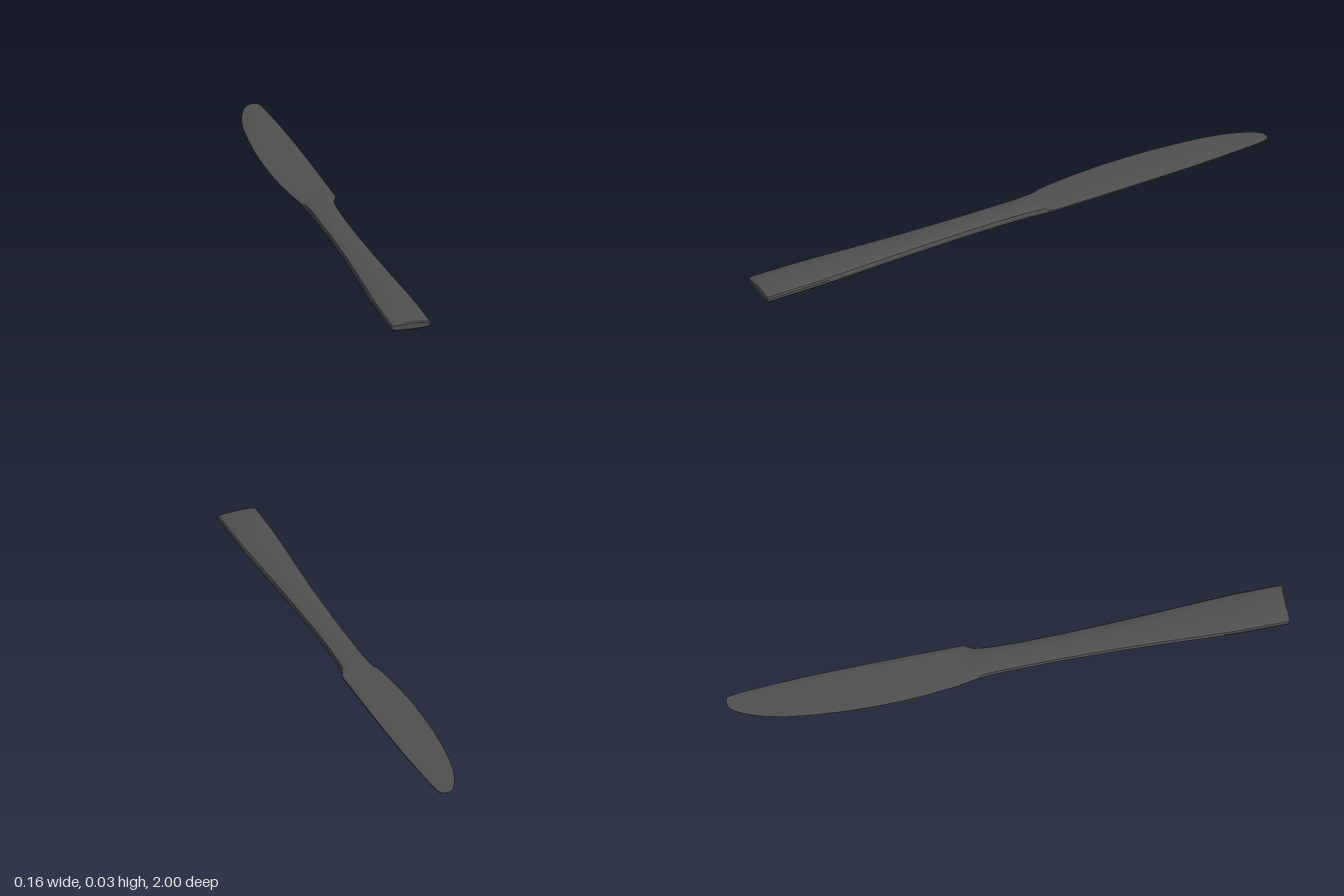
import * as THREE from 'three';
import { toCreasedNormals } from 'three/addons/utils/BufferGeometryUtils.js';

// Half cross-sections: [position across, half thickness], from cutting side to spine
const HANDLE = [[0, 0.3], [0.03, 0.65], [0.1, 0.82], [0.3, 0.96], [0.5, 1], [0.7, 0.96], [0.9, 0.82], [0.97, 0.65], [1, 0.3]];
const BLADE = [[0, 0.25], [0.03, 0.45], [0.1, 0.55], [0.3, 0.75], [0.5, 0.9], [0.7, 1], [0.9, 1], [0.97, 0.9], [1, 0.5]];

// Closed ring of points for one station: z, left x, right x, mid height, half height, blend to blade
function ring([z, xl, xr, yc, h, blend]) {
  const half = HANDLE.map(([u, v], i) => [
    THREE.MathUtils.lerp(xl, xr, THREE.MathUtils.lerp(u, BLADE[i][0], blend)),
    h * THREE.MathUtils.lerp(v, BLADE[i][1], blend),
  ]);
  const bottom = half.map(([x, t]) => [x, yc - t, z]);
  const top = half.map(([x, t]) => [x, yc + t, z]).reverse();
  return [...bottom, ...top];
}

// Skin a row of stations, closing the chosen ends
function loft(stations, capBack, capFront) {
  const rings = stations.map(ring);
  const n = rings[0].length;
  const index = [];
  for (let i = 0; i < rings.length - 1; i++) {
    for (let j = 0; j < n; j++) {
      const a = i * n + j, b = i * n + (j + 1) % n;
      index.push(a, b, b + n, a, b + n, a + n);
    }
  }
  const last = (rings.length - 1) * n;
  for (let j = 1; j < n - 1; j++) {
    if (capBack) index.push(0, j + 1, j);
    if (capFront) index.push(last, last + j, last + j + 1);
  }
  const geometry = new THREE.BufferGeometry();
  geometry.setAttribute('position', new THREE.Float32BufferAttribute(rings.flat(2), 3));
  geometry.setIndex(index);
  return toCreasedNormals(geometry, 0.5);
}

export function createModel() {
  const group = new THREE.Group();
  group.name = 'tableKnife';
  const steel = new THREE.MeshStandardMaterial({ color: 0x505050 });

  // Blade: rounded tip, bellied cutting edge on -x, nearly straight spine on +x
  const bladeOutline = [
    [-1, 0.025, 0.045], [-0.995, 0.013, 0.053], [-0.98, 0, 0.058], [-0.955, -0.014, 0.061],
    [-0.92, -0.029, 0.064], [-0.87, -0.045, 0.067], [-0.8, -0.06, 0.071], [-0.7, -0.072, 0.075],
    [-0.6, -0.08, 0.077], [-0.5, -0.083, 0.078], [-0.4, -0.083, 0.079], [-0.3, -0.077, 0.079],
    [-0.2, -0.067, 0.079], [-0.145, -0.058, 0.079],
  ];
  const bladeStations = bladeOutline.map(([z, xl, xr]) => {
    const t = (z + 1) / 0.855;
    return [z, xl, xr, 0.028 - 0.004 * t, 0.003 + 0.003 * t, 1];
  });
  const blade = new THREE.Mesh(loft(bladeStations, true, false), steel);
  blade.name = 'blade';

  // Handle: shoulder rising from the blade, slim neck, flared squared end
  const handleStations = [
    [-0.145, -0.058, 0.079, 0.024, 0.006, 1],
    [-0.13, -0.054, 0.072, 0.021, 0.01, 0.6],
    [-0.11, -0.049, 0.064, 0.018, 0.015, 0.2],
    [-0.09, -0.046, 0.06, 0.017, 0.017, 0],
    [-0.05, -0.043, 0.056, 0.017, 0.017, 0],
    [0.05, -0.042, 0.053, 0.017, 0.017, 0],
    [0.2, -0.042, 0.054, 0.017, 0.017, 0],
    [0.4, -0.046, 0.06, 0.017, 0.017, 0],
    [0.6, -0.055, 0.069, 0.017, 0.017, 0],
    [0.72, -0.062, 0.075, 0.017, 0.017, 0],
    [0.82, -0.066, 0.079, 0.017, 0.017, 0],
    [0.985, -0.067, 0.08, 0.017, 0.017, 0],
    [0.996, -0.066, 0.079, 0.017, 0.0145, 0],
    [1, -0.063, 0.076, 0.017, 0.01, 0],
  ];
  const handle = new THREE.Mesh(loft(handleStations, false, true), steel);
  handle.name = 'handle';

  group.add(blade, handle);
  return group;
}
